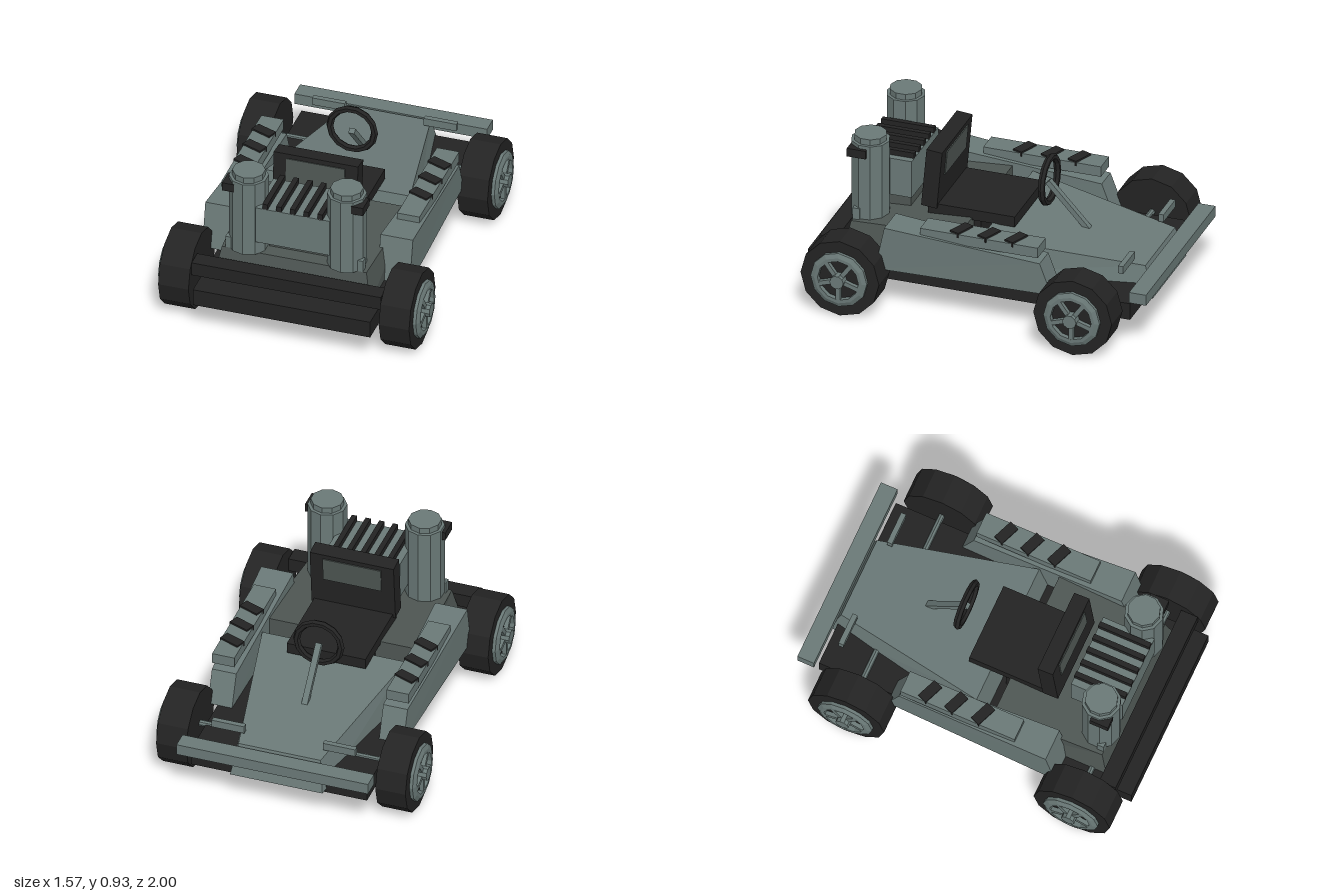
import * as THREE from 'three';

const grey = new THREE.MeshStandardMaterial({ color: 0x6a7977 });
grey.name = 'body grey';
const shade = new THREE.MeshStandardMaterial({ color: 0x4e5653 });
shade.name = 'dark grey';
const black = new THREE.MeshStandardMaterial({ color: 0x232323 });
black.name = 'black';

// Split faces so every facet is flat
function flat(geo) {
  const g = geo.index ? geo.toNonIndexed() : geo;
  g.computeVertexNormals();
  return g;
}

function add(parent, name, geo, mat, x = 0, y = 0, z = 0) {
  const m = new THREE.Mesh(geo, mat);
  m.name = name;
  m.position.set(x, y, z);
  parent.add(m);
  return m;
}

// Box given by its extents
function box(parent, name, mat, x0, x1, y0, y1, z0, z1) {
  return add(parent, name, new THREE.BoxGeometry(x1 - x0, y1 - y0, z1 - z0), mat,
    (x0 + x1) / 2, (y0 + y1) / 2, (z0 + z1) / 2);
}

// Six-sided block whose corners are placed by rule(right, top, rear)
function block(parent, name, mat, rule) {
  const geo = new THREE.BoxGeometry(1, 1, 1);
  const p = geo.attributes.position;
  for (let i = 0; i < p.count; i++) {
    p.setXYZ(i, ...rule(p.getX(i) > 0, p.getY(i) > 0, p.getZ(i) > 0));
  }
  return add(parent, name, flat(geo), mat);
}

function prism(r, h, sides) {
  return flat(new THREE.CylinderGeometry(r, r, h, sides));
}

// Wheel with its axis along y, outer face up
function makeWheel(s) {
  const wheel = new THREE.Group();
  wheel.name = 'wheel';
  add(wheel, 'tyre', prism(0.23, 0.176, 12), black);
  const rim = [[0.12, 0], [0.165, 0], [0.165, 0.018], [0.14, 0.03], [0.12, 0.03], [0.12, 0]]
    .map(([x, y]) => new THREE.Vector2(x, y));
  add(wheel, 'rim', flat(new THREE.LatheGeometry(rim, 12)), grey, 0, 0.088, 0);
  add(wheel, 'hub', prism(0.04, 0.055, 10), grey, 0, 0.115, 0);
  for (let i = 0; i < 5; i++) {
    const a = i * Math.PI * 2 / 5 + (s < 0 ? Math.PI : 0);
    const spoke = add(wheel, 'spoke', new THREE.BoxGeometry(0.11, 0.025, 0.026), grey,
      Math.cos(a) * 0.075, 0.105, -Math.sin(a) * 0.075);
    spoke.rotation.y = a;
  }
  return wheel;
}

export function createModel() {
  const kart = new THREE.Group();
  kart.name = 'kart';

  // Chassis, bumper and wing
  box(kart, 'floor', black, -0.515, 0.515, 0.16, 0.26, -0.89, 1);
  box(kart, 'bumper', black, -0.55, 0.55, 0.3, 0.38, 0.82, 0.92);
  box(kart, 'wing', grey, -0.56, 0.56, 0.29, 0.355, -1, -0.9);

  // Wedge-shaped nose
  block(kart, 'nose', grey, (r, t, b) => {
    const x = b ? (t ? 0.42 : 0.46) : (t ? 0.24 : 0.27);
    const y = b ? (t ? 0.46 : 0.255) : (t ? 0.36 : 0.18);
    const z = b ? (t ? 0.02 : 0.07) : (t ? -0.88 : -0.935);
    return [r ? x : -x, y, z];
  });

  // Engine deck
  block(kart, 'deck', shade, (r, t, b) => {
    const x = b && t ? 0.42 : 0.455;
    return [r ? x : -x, t ? (b ? 0.43 : 0.47) : 0.255, b ? (t ? 0.78 : 0.82) : 0.14];
  });

  // Engine block with cooling fins
  box(kart, 'engine', grey, -0.215, 0.215, 0.52, 0.745, 0.5, 0.81);
  box(kart, 'engineMount', shade, -0.17, 0.17, 0.43, 0.52, 0.52, 0.7);
  for (let i = -2; i <= 2; i++) {
    box(kart, 'fin', black, i * 0.08 - 0.015, i * 0.08 + 0.015, 0.74, 0.778, 0.5, 0.81);
  }

  // Seat with a back tilted forward and inset panels
  box(kart, 'seatCushion', black, -0.23, 0.23, 0.455, 0.518, -0.11, 0.4);
  box(kart, 'seatBase', black, -0.2, 0.2, 0.25, 0.46, 0.1, 0.36);
  const back = new THREE.Group();
  back.name = 'seatBack';
  back.position.set(0, 0.5, 0.388);
  back.rotation.x = -0.09;
  kart.add(back);
  box(back, 'backrest', black, -0.245, 0.245, 0, 0.352, -0.046, 0.046);
  for (const z of [-0.048, 0.048]) {
    box(back, 'backPanel', shade, -0.17, 0.17, 0.18, 0.325, z - 0.004, z + 0.004);
  }

  // Steering wheel and column
  add(kart, 'steeringWheel', flat(new THREE.TorusGeometry(0.13, 0.02, 6, 14)), black, 0, 0.66, -0.23);
  const column = add(kart, 'steeringColumn', new THREE.BoxGeometry(0.035, 0.37, 0.03), grey, 0, 0.515, -0.35);
  column.rotation.x = Math.atan2(0.25, 0.27);

  for (const s of [1, -1]) {
    const side = new THREE.Group();
    side.name = s > 0 ? 'leftSide' : 'rightSide';
    kart.add(side);
    const sbox = (name, mat, x0, x1, ...rest) =>
      box(side, name, mat, Math.min(s * x0, s * x1), Math.max(s * x0, s * x1), ...rest);

    // Side pod, rising toward the rear
    block(side, 'sidePod', grey, (r, t, b) => {
      const outer = r === s > 0;
      const x = outer ? (b ? 0.603 : 0.572) : (b ? 0.415 : 0.43);
      const y = t ? (b ? 0.52 : 0.445) : 0.26;
      return [s * x, y, b ? (t ? 0.52 : 0.575) : (t ? -0.38 : -0.45)];
    });
    sbox('podRail', grey, 0.445, 0.575, 0.48, 0.542, -0.37, 0.32);
    for (const z of [-0.22, -0.062, 0.1]) {
      const vent = add(side, 'vent', new THREE.BoxGeometry(0.125, 0.03, 0.06), black, s * 0.51, 0.537, z);
      vent.rotation.y = -0.38;
    }

    // Rear tower with cap, clamp and bracket
    add(side, 'tower', prism(0.11, 0.46, 10), grey, s * 0.285, 0.66, 0.715);
    add(side, 'towerCap', prism(0.092, 0.04, 10), grey, s * 0.285, 0.905, 0.715);
    sbox('clamp', black, 0.34, 0.41, 0.82, 0.87, 0.7, 0.81);
    sbox('bracket', grey, 0.31, 0.4, 0.28, 0.5, 0.74, 0.78);

    // Nose fin
    sbox('noseFin', grey, 0.23, 0.42, 0.385, 0.43, -0.815, -0.785);

    // Axles and wheels
    for (const z of [0.735, -0.63]) {
      const axle = add(side, 'axle', prism(0.018, 0.3, 8), grey, s * 0.42, 0.255, z);
      axle.rotation.z = Math.PI / 2;
      const wheel = makeWheel(s);
      wheel.position.set(s * 0.641, 0.23, z);
      wheel.rotation.z = -s * Math.PI / 2;
      side.add(wheel);
    }
  }
  return kart;
}
